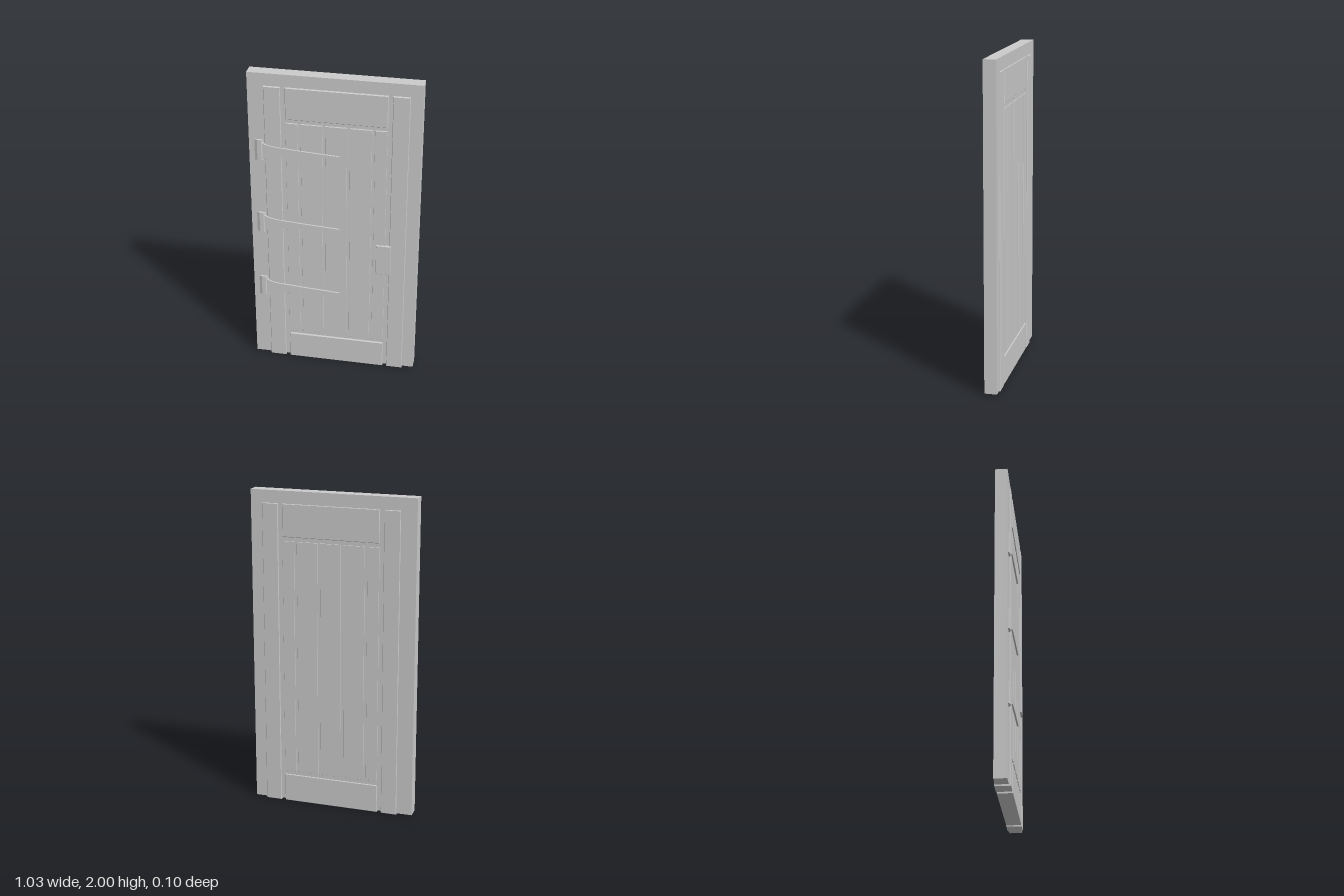
import * as THREE from 'three';

const mat = new THREE.MeshStandardMaterial({ color: 0xcccccc, flatShading: true });

// Box given by its limits, with a small chamfer on front and back edges
function board(name, x0, x1, y0, y1, z0, z1, c = 0.003) {
  const s = new THREE.Shape([
    new THREE.Vector2(x0 + c, y0 + c), new THREE.Vector2(x1 - c, y0 + c),
    new THREE.Vector2(x1 - c, y1 - c), new THREE.Vector2(x0 + c, y1 - c),
  ]);
  const geo = new THREE.ExtrudeGeometry(s, {
    depth: z1 - z0 - 2 * c, bevelEnabled: c > 0, bevelSize: c, bevelThickness: c, bevelSegments: 1,
  });
  geo.translate(0, 0, z0 + c);
  const mesh = new THREE.Mesh(geo, mat);
  mesh.name = name;
  return mesh;
}

// Strap hinge: faceted knuckle on the frame and a tapering strap on the door
function hinge(y) {
  const g = new THREE.Group();
  g.name = 'hinge';

  const profile = new THREE.Shape([
    [-0.482, 0.025], [-0.425, 0.025], [-0.43, 0.034], [-0.44, 0.041], [-0.465, 0.041], [-0.482, 0.033],
  ].map(([x, z]) => new THREE.Vector2(x, -z)).reverse());
  const kGeo = new THREE.ExtrudeGeometry(profile, { depth: 0.136, bevelEnabled: false });
  kGeo.rotateX(-Math.PI / 2).translate(0, -0.068, 0);
  const knuckle = new THREE.Mesh(kGeo, mat);
  knuckle.name = 'hingeKnuckle';

  const half = [[-0.432, 0.056], [-0.415, 0.045], [-0.39, 0.037], [-0.35, 0.031],
    [-0.3, 0.027], [-0.2, 0.019], [-0.06, 0.011], [0.035, 0.005]];
  const outline = [
    ...half.map(([x, h]) => new THREE.Vector2(x, -h)),
    ...half.slice().reverse().map(([x, h]) => new THREE.Vector2(x, h)),
  ];
  const sGeo = new THREE.ExtrudeGeometry(new THREE.Shape(outline), { depth: 0.01, bevelEnabled: false });
  sGeo.translate(0, 0, 0.038);
  const strap = new THREE.Mesh(sGeo, mat);
  strap.name = 'hingeStrap';

  g.add(knuckle, strap);
  g.position.y = y;
  return g;
}

export function createModel() {
  const model = new THREE.Group();
  model.name = 'door';

  // Surround: two jambs and a head
  const frame = new THREE.Group();
  frame.name = 'frame';
  const outer = new THREE.Shape([
    [-0.517, 0.01], [-0.418, 0.01], [-0.418, 1.922], [0.445, 1.922],
    [0.445, 0.01], [0.517, 0.01], [0.517, 2], [-0.517, 2],
  ].map(([x, y]) => new THREE.Vector2(x, y)));
  const fGeo = new THREE.ExtrudeGeometry(outer, { depth: 0.077, bevelEnabled: false });
  fGeo.translate(0, 0, -0.049);
  const surround = new THREE.Mesh(fGeo, mat);
  surround.name = 'surround';
  frame.add(surround);
  model.add(frame);

  // Door leaf: recessed core seen in the grooves, with boards standing proud on both sides
  const leaf = new THREE.Group();
  leaf.name = 'leaf';
  const back = -0.054, front = 0.04;
  leaf.add(board('core', -0.418, 0.445, 0.01, 1.922, -0.046, 0.028, 0));
  leaf.add(board('leftStile', 0.345, 0.445, 0, 1.922, back, front));
  leaf.add(board('rightStile', -0.418, -0.318, 0, 1.922, back, front));
  leaf.add(board('topRail', -0.29, 0.318, 1.72, 1.922, back + 0.002, front));
  leaf.add(board('bottomRail', -0.29, 0.318, 0, 0.18, back + 0.002, front));
  const edges = [[-0.29, -0.217], [-0.2, -0.069], [-0.052, 0.079], [0.096, 0.227], [0.244, 0.318]];
  for (const [x0, x1] of edges) leaf.add(board('plank', x0, x1, 0.205, 1.695, back + 0.004, front - 0.002, 0.001));
  model.add(leaf);

  // Ironwork
  for (const y of [1.503, 1.002, 0.533]) model.add(hinge(y));
  model.add(board('lockPlate', 0.264, 0.356, 0.713, 0.918, 0.03, 0.048, 0.002));

  return model;
}
